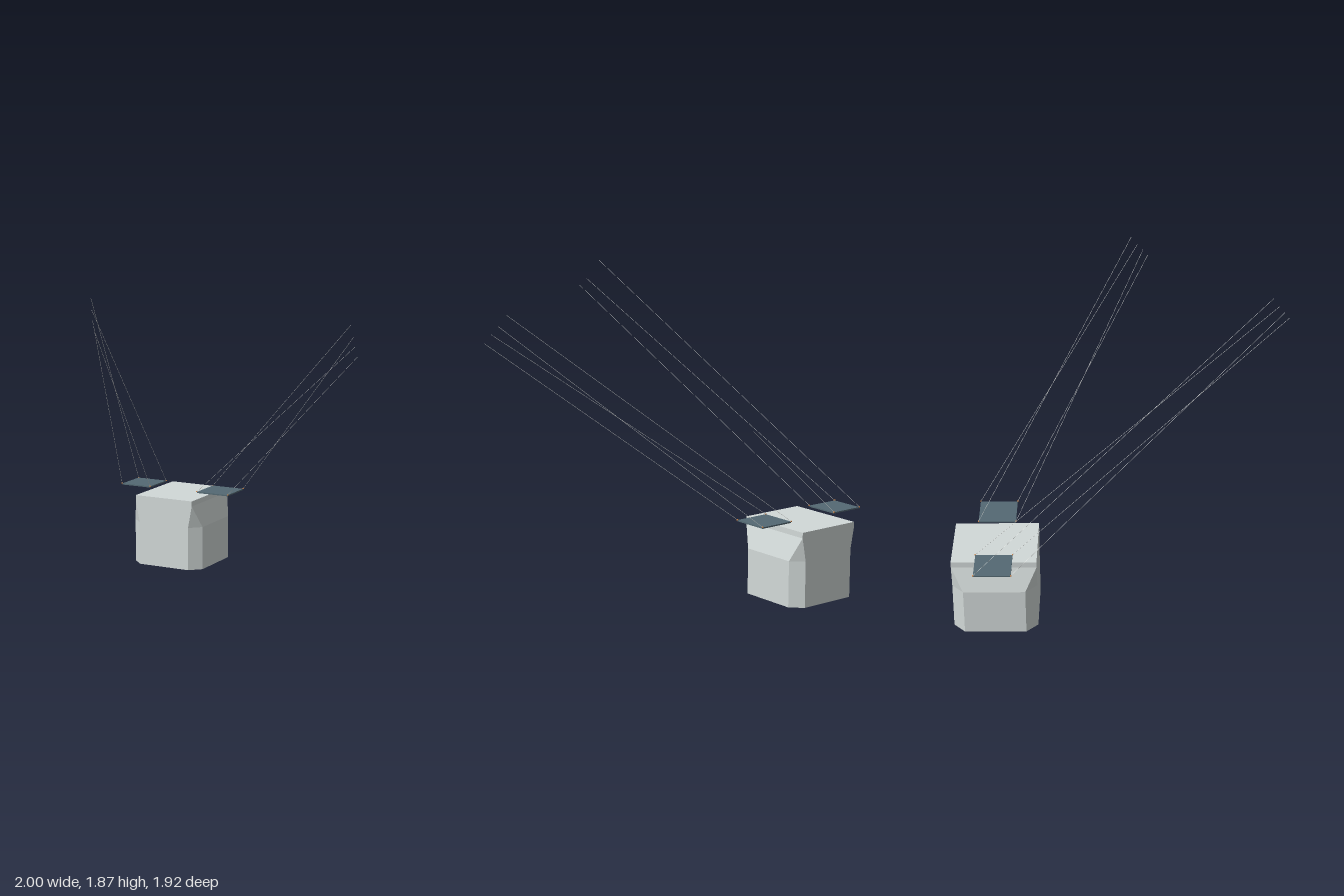
import * as THREE from 'three';

const mat = (name, color, extra = {}) => {
  const m = new THREE.MeshStandardMaterial({ color, ...extra });
  m.name = name;
  return m;
};

// Eight-sided ring; wx and wz are the half widths of the flat front and side faces
const ring = (y, hx, hz, wx, wz) => [
  [-wx, hz], [wx, hz], [hx, wz], [hx, -wz], [wx, -hz], [-wx, -hz], [-hx, -wz], [-hx, wz],
].map(([x, z]) => new THREE.Vector3(x, y, z));

// Flat-faced solid through a stack of rings, closed at both ends
function loft(rings) {
  const pos = [];
  const tri = (a, b, c) => {
    if (new THREE.Triangle(a, b, c).getArea() > 1e-6) for (const v of [a, b, c]) pos.push(v.x, v.y, v.z);
  };
  const n = rings[0].length;
  for (let r = 0; r + 1 < rings.length; r++) {
    const lo = rings[r], hi = rings[r + 1];
    for (let i = 0; i < n; i++) {
      const j = (i + 1) % n;
      tri(lo[i], lo[j], hi[j]);
      tri(lo[i], hi[j], hi[i]);
    }
  }
  const bottom = rings[0], top = rings[rings.length - 1];
  for (let i = 1; i + 1 < n; i++) {
    tri(top[0], top[i], top[i + 1]);
    tri(bottom[0], bottom[i + 1], bottom[i]);
  }
  const g = new THREE.BufferGeometry();
  g.setAttribute('position', new THREE.Float32BufferAttribute(pos, 3));
  g.computeVertexNormals();
  return g;
}

export function createModel() {
  const model = new THREE.Group();
  model.name = 'blockWithSuspendedPlates';
  const stone = mat('paleGrey', 0xd2d9d8, { flatShading: true });
  const slate = mat('slateBlue', 0x546973);
  const wireMat = mat('lightWire', 0xd0d2d0);
  const orange = mat('orangeFitting', 0xd98a4a);

  const add = (parent, name, geometry, material) => {
    const mesh = new THREE.Mesh(geometry, material);
    mesh.name = name;
    parent.add(mesh);
    return mesh;
  };

  // Block: chamfered corners that run out to points below the square top
  const block = add(model, 'block', loft([
    ring(0, 0.247, 0.2445, 0.178, 0.178),
    ring(0.277, 0.247, 0.2445, 0.178, 0.178),
    ring(0.42, 0.205, 0.2445, 0.205, 0.2445),
    ring(0.453, 0.205, 0.2445, 0.205, 0.2445),
  ]), stone);
  block.position.set(-0.609, 0, -0.716);

  // Thin straight wire between two points
  const up = new THREE.Vector3(0, 1, 0);
  const wire = (parent, a, b) => {
    const dir = b.clone().sub(a);
    const m = add(parent, 'wire', new THREE.CylinderGeometry(0.001, 0.001, dir.length(), 6), wireMat);
    m.position.copy(a).add(b).multiplyScalar(0.5);
    m.quaternion.setFromUnitVectors(up, dir.normalize());
  };

  // Plate hung from four wires, each tied to a small fitting at a corner
  function hungPlate(name, [x0, x1], [z0, z1], ends) {
    const g = new THREE.Group();
    g.name = name;
    const plate = add(g, 'plate', new THREE.BoxGeometry(x1 - x0, 0.008, z1 - z0), slate);
    plate.position.set((x0 + x1) / 2, 0.483, (z0 + z1) / 2);
    const corners = [[x0, z0], [x1, z0], [x0, z1], [x1, z1]];
    corners.forEach(([x, z], i) => {
      const fitting = add(g, 'cornerFitting', new THREE.BoxGeometry(0.007, 0.006, 0.007), orange);
      fitting.position.set(x, 0.488, z);
      wire(g, new THREE.Vector3(x, 0.488, z), new THREE.Vector3(...ends[i]));
    });
    model.add(g);
  }

  hungPlate('rightPlate', [-0.996, -0.786], [-0.82, -0.608], [
    [-0.31, 1.872, 0.858], [-0.28, 1.809, 0.897], [-0.257, 1.758, 0.928], [-0.23, 1.71, 0.958],
  ]);
  hungPlate('leftPlate', [-0.438, -0.217], [-0.825, -0.605], [
    [0.914, 1.708, 0.08], [0.946, 1.643, 0.118], [0.97, 1.594, 0.152], [0.999, 1.544, 0.183],
  ]);

  return model;
}
